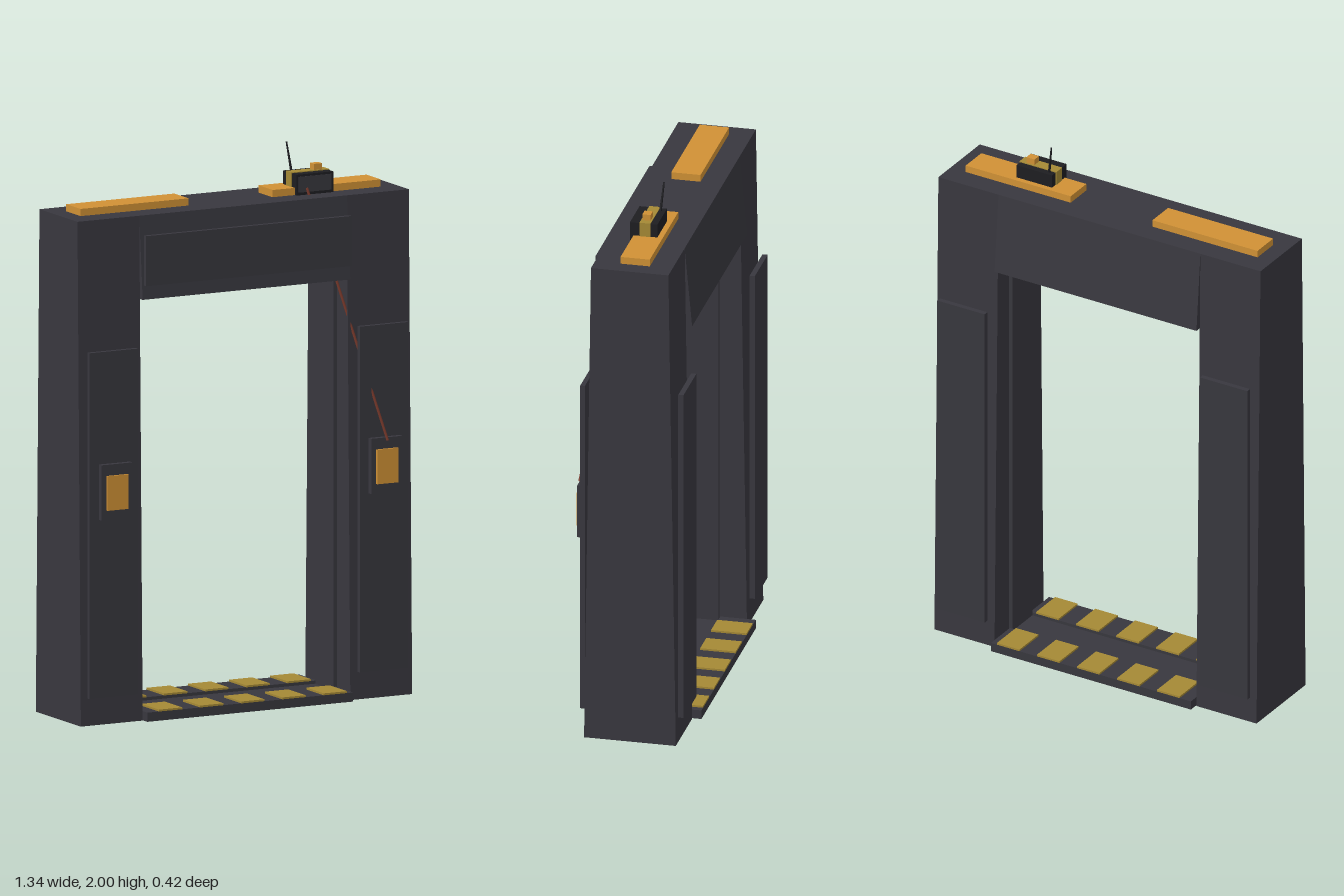
import * as THREE from 'three';

const mat = (name, color) => {
  const m = new THREE.MeshStandardMaterial({ color });
  m.name = name;
  return m;
};

export function createModel() {
  const root = new THREE.Group();
  root.name = 'doorFrame';
  const frame = mat('charcoal', 0x38373e);
  const black = mat('black', 0x1d1d21);
  const orange = mat('amber', 0xd09135);
  const yellow = mat('hazardYellow', 0xa58935);
  const red = mat('cableRed', 0x7a3a2c);

  const add = (name, geo, m) => {
    const mesh = new THREE.Mesh(geo, m);
    mesh.name = name;
    root.add(mesh);
    return mesh;
  };
  // Box given by its limits on each axis
  const box = (name, m, x0, x1, y0, y1, z0, z1) => {
    const mesh = add(name, new THREE.BoxGeometry(x1 - x0, y1 - y0, z1 - z0), m);
    mesh.position.set((x0 + x1) / 2, (y0 + y1) / 2, (z0 + z1) / 2);
    return mesh;
  };
  // Side profile of [z, y] points drawn out along x
  const prism = (name, m, pts, x0, x1) => {
    const shape = new THREE.Shape(pts.map(([z, y]) => new THREE.Vector2(-z, y)));
    const geo = new THREE.ExtrudeGeometry(shape, { depth: x1 - x0, bevelEnabled: false });
    geo.rotateY(Math.PI / 2).translate(x0, 0, 0);
    return add(name, geo, m);
  };
  // Straight round rod between two points
  const rod = (name, m, a, b, r0, r1) => {
    const from = new THREE.Vector3(...a), to = new THREE.Vector3(...b);
    const dir = to.clone().sub(from);
    const mesh = add(name, new THREE.CylinderGeometry(r1, r0, dir.length(), 8), m);
    mesh.position.copy(from).add(to).multiplyScalar(0.5);
    mesh.quaternion.setFromUnitVectors(new THREE.Vector3(0, 1, 0), dir.normalize());
  };

  // Tapered pillars with their jambs, panels, control boxes and top lights
  const pillar = [[0.16, 0], [0.135, 1.82], [-0.148, 1.82], [-0.175, 0]];
  for (const s of [-1, 1]) {
    const span = (a, b) => (s > 0 ? [a, b] : [-b, -a]);
    prism('pillar', frame, pillar, ...span(0.42, 0.67));
    box('jambStrip', frame, ...span(0.406, 0.425), 0.02, 1.53, -0.075, 0.06);
    box('frontPanel', frame, ...span(0.448, 0.645), 0.1, 1.35, 0.163, 0.18);
    box('backPanel', frame, ...span(0.448, 0.645), 0.1, 1.35, -0.197, -0.178);
    box('controlBox', frame, ...span(0.483, 0.608), 0.745, 0.945, 0.175, 0.2);
    box('controlScreen', orange, ...span(0.503, 0.588), 0.78, 0.905, 0.2, 0.208);
    box('topLight', orange, ...span(0.17, 0.607), 1.815, 1.846, -0.065, 0.042);
  }

  // Lintel, flaring toward its lower edge
  prism('lintel', frame, [[0.16, 1.52], [0.135, 1.82], [-0.148, 1.82], [-0.175, 1.52]], -0.42, 0.42);
  box('lintelPanel', frame, -0.417, 0.415, 1.572, 1.753, 0.163, 0.18);

  // Threshold with a central channel and two rows of hazard tiles
  box('thresholdBase', frame, -0.417, 0.415, 0, 0.022, -0.208, 0.19);
  for (const [z0, z1] of [[0.06, 0.19], [-0.208, -0.078]]) {
    box('thresholdTread', frame, -0.417, 0.415, 0.015, 0.033, z0, z1);
    for (let i = 0; i < 5; i++) {
      const x = -0.323 + i * 0.1665;
      box('hazardTile', yellow, x - 0.047, x + 0.047, 0.033, 0.04, z0, z1);
    }
  }

  // Device on the roof: two dark halves round a yellow band
  box('deviceFront', black, 0.26, 0.408, 1.82, 1.895, 0.02, 0.055);
  box('deviceBack', black, 0.26, 0.408, 1.82, 1.895, -0.045, -0.02);
  box('deviceFace', frame, 0.268, 0.4, 1.83, 1.887, 0.053, 0.057);
  box('deviceBand', yellow, 0.257, 0.411, 1.84, 1.898, -0.02, 0.02);
  box('deviceButton', orange, 0.351, 0.385, 1.895, 1.92, -0.015, 0.015);
  rod('antenna', black, [0.284, 1.885, -0.026], [0.268, 2.0, -0.036], 0.005, 0.003);

  // Cable from the left control box up to the device
  rod('cable', red, [0.546, 0.935, 0.206], [0.3, 1.845, 0.057], 0.005, 0.005);
  return root;
}
